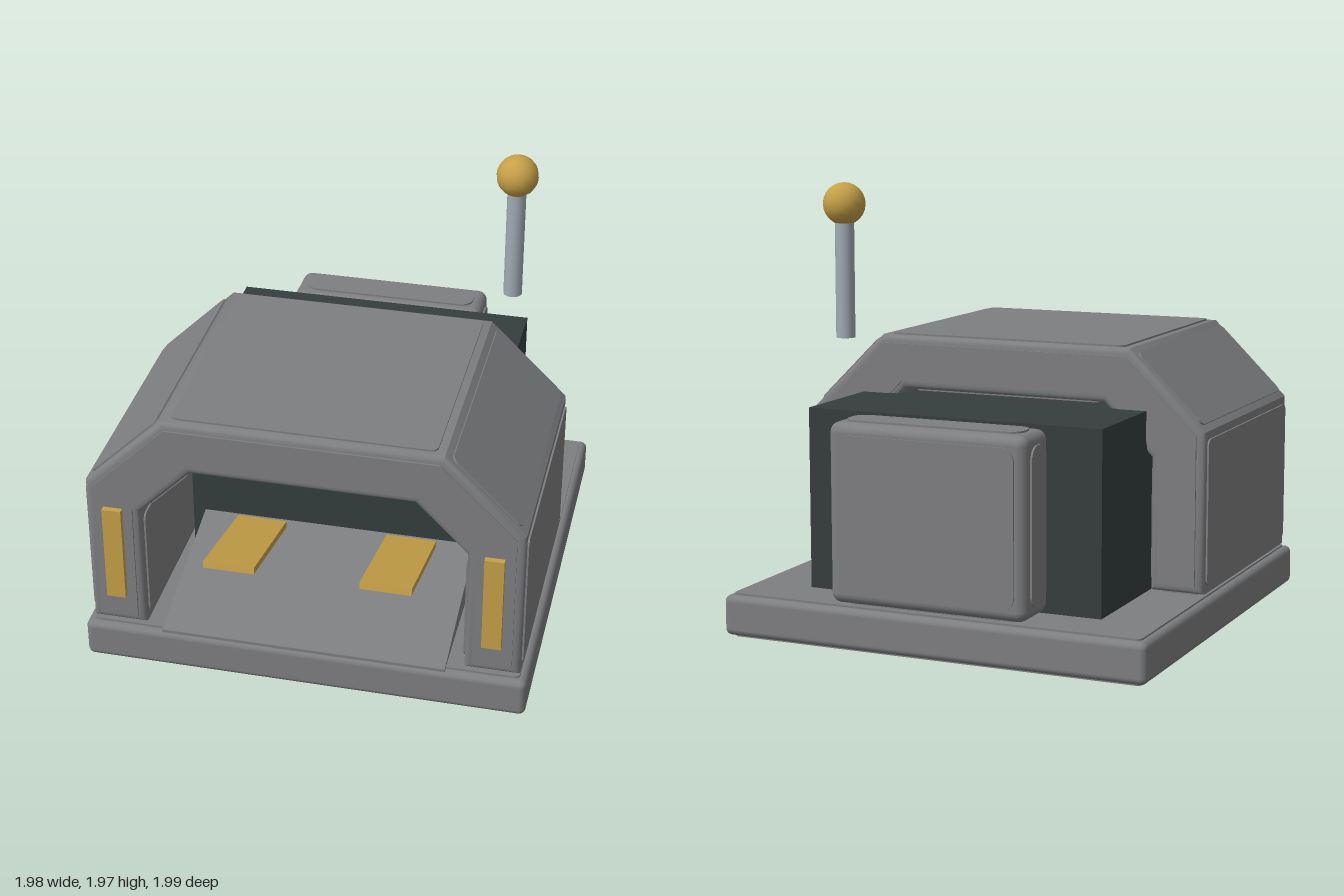
import * as THREE from 'three';
import { toCreasedNormals } from 'three/addons/utils/BufferGeometryUtils.js';
import { RoundedBoxGeometry } from 'three/addons/geometries/RoundedBoxGeometry.js';

const material = (name, color) => {
  const m = new THREE.MeshStandardMaterial({ color });
  m.name = name;
  return m;
};

const PLATE = 0.008;

export function createModel() {
  const grey = material('stone grey', 0x7e7f81);
  const dark = material('dark slate', 0x353e3d);
  const gold = material('brass', 0xc6a048);
  const steel = material('light steel', 0xa0abb2);
  const model = new THREE.Group();
  model.name = 'model';

  const add = (parent, name, geometry, mat, x = 0, y = 0, z = 0) => {
    const mesh = new THREE.Mesh(geometry, mat);
    mesh.name = name;
    mesh.position.set(x, y, z);
    parent.add(mesh);
    return mesh;
  };
  const group = (name) => {
    const g = new THREE.Group();
    g.name = name;
    model.add(g);
    return g;
  };

  // Thin raised panel with rounded corners, lying on a surface and facing +z
  const panelGeometry = (w, h, r) => {
    const s = new THREE.Shape();
    const x = w / 2, y = h / 2;
    s.moveTo(-x + r, -y);
    s.lineTo(x - r, -y).absarc(x - r, -y + r, r, -Math.PI / 2, 0);
    s.lineTo(x, y - r).absarc(x - r, y - r, r, 0, Math.PI / 2);
    s.lineTo(-x + r, y).absarc(-x + r, y - r, r, Math.PI / 2, Math.PI);
    s.lineTo(-x, -y + r).absarc(-x + r, -y + r, r, Math.PI, Math.PI * 1.5);
    return new THREE.ExtrudeGeometry(s, { depth: PLATE, bevelEnabled: false, curveSegments: 5 });
  };

  // Rounded block with raised panels on the chosen faces
  const block = (name, size, centre, radius, margin, corner, faces) => {
    const g = group(name);
    g.position.set(...centre);
    const [w, h, d] = size;
    add(g, name + 'Body', new RoundedBoxGeometry(w, h, d, 3, radius), grey);
    const q = Math.PI / 2;
    const table = {
      front: [w, h, 0, 0, [0, 0, d / 2]],
      back: [w, h, 0, Math.PI, [0, 0, -d / 2]],
      left: [d, h, 0, q, [w / 2, 0, 0]],
      right: [d, h, 0, -q, [-w / 2, 0, 0]],
      top: [w, d, -q, 0, [0, h / 2, 0]],
      bottom: [w, d, q, 0, [0, -h / 2, 0]],
    };
    for (const face of faces) {
      const [pw, ph, rx, ry, pos] = table[face];
      const p = add(g, face + 'Panel', panelGeometry(pw - 2 * margin, ph - 2 * margin, corner), grey, ...pos);
      p.rotation.set(rx, ry, 0);
    }
  };

  // Base slab
  block('base', [1.98, 0.18, 1.98], [0, 0.1, 0], 0.03, 0.033, 0.025, ['top', 'bottom']);

  // Rear block
  block('rearBlock', [0.92, 0.785, 0.25], [0, 0.603, -0.865], 0.045, 0.05, 0.06,
    ['front', 'back', 'left', 'right', 'top', 'bottom']);

  // Arch outline, inset by o on every side
  const archPoints = (o) => {
    const k = 0.414 * o;
    const outer = [[0.957 - o, 0.208 + o], [0.957 - o, 0.925 - k], [0.605 - k, 1.272 - o]];
    const inner = [[0.712 + o, 0.208 + o], [0.712 + o, 0.8 + k], [0.485 + k, 1.028 + o]];
    const flip = (list) => list.map(([x, y]) => [-x, y]);
    return [...outer, ...flip(outer).reverse(), ...flip(inner), ...inner.reverse()]
      .map(([x, y]) => new THREE.Vector2(x, y));
  };
  const arch = group('arch');
  const zBack = -0.215, zFront = 0.96, bevel = 0.028;
  const archBody = new THREE.ExtrudeGeometry(new THREE.Shape(archPoints(bevel)), {
    depth: zFront - zBack - 2 * bevel, bevelThickness: bevel, bevelSize: bevel, bevelSegments: 3,
  });
  add(arch, 'archBody', toCreasedNormals(archBody, 0.6), grey, 0, 0, zBack + bevel);

  // Front and back arch panels
  const facePlate = new THREE.ExtrudeGeometry(new THREE.Shape(archPoints(0.036)), {
    depth: PLATE, bevelEnabled: false,
  });
  add(arch, 'archFrontPanel', facePlate, grey, 0, 0, zFront);
  add(arch, 'archBackPanel', facePlate, grey, 0, 0, zBack - PLATE);

  // One panel on each facet around the arch
  const outline = archPoints(0);
  const along = new THREE.Vector3(0, 0, 1);
  outline.forEach((a, i) => {
    const b = outline[(i + 1) % outline.length];
    const dir = new THREE.Vector3(b.x - a.x, b.y - a.y, 0);
    const length = dir.length();
    dir.normalize();
    const normal = dir.clone().cross(along);
    const p = add(arch, 'archSidePanel', panelGeometry(length - 0.07, zFront - zBack - 0.075, 0.03), grey,
      (a.x + b.x) / 2, (a.y + b.y) / 2, (zFront + zBack) / 2);
    p.quaternion.setFromRotationMatrix(new THREE.Matrix4().makeBasis(dir, along, normal));
  });

  // Dark core behind the opening
  add(model, 'core', new THREE.BoxGeometry(1.385, 0.81, 1.0), dark, 0, 0.6, -0.23);

  // Sloping floor ramp
  const wedge = new THREE.Shape([[0.985, 0.19], [0.985, 0.205], [0.26, 0.37], [0.26, 0.19]]
    .map(([z, y]) => new THREE.Vector2(-z, y)));
  const ramp = add(model, 'ramp',
    new THREE.ExtrudeGeometry(wedge, { depth: 1.27, bevelEnabled: false }), grey, -0.635, 0, 0);
  ramp.rotation.y = Math.PI / 2;

  for (const side of [-1, 1]) {
    // Tilted pedals
    const pedal = add(model, 'pedal', new THREE.BoxGeometry(0.23, 0.032, 0.58), gold, side * 0.35, 0.445, 0.6);
    pedal.rotation.x = -0.24;
    // Brass strips on the front of the arch
    add(model, 'frontStrip', new THREE.BoxGeometry(0.085, 0.455, 0.04), gold, side * 0.833, 0.587, 0.975);
  }

  // Floating lever with ball
  add(model, 'leverRod', new THREE.CylinderGeometry(0.043, 0.043, 0.53, 16), steel, 0.655, 1.55, -0.455);
  add(model, 'leverBall', new THREE.SphereGeometry(0.095, 16, 12), gold, 0.655, 1.88, -0.455);

  return model;
}
